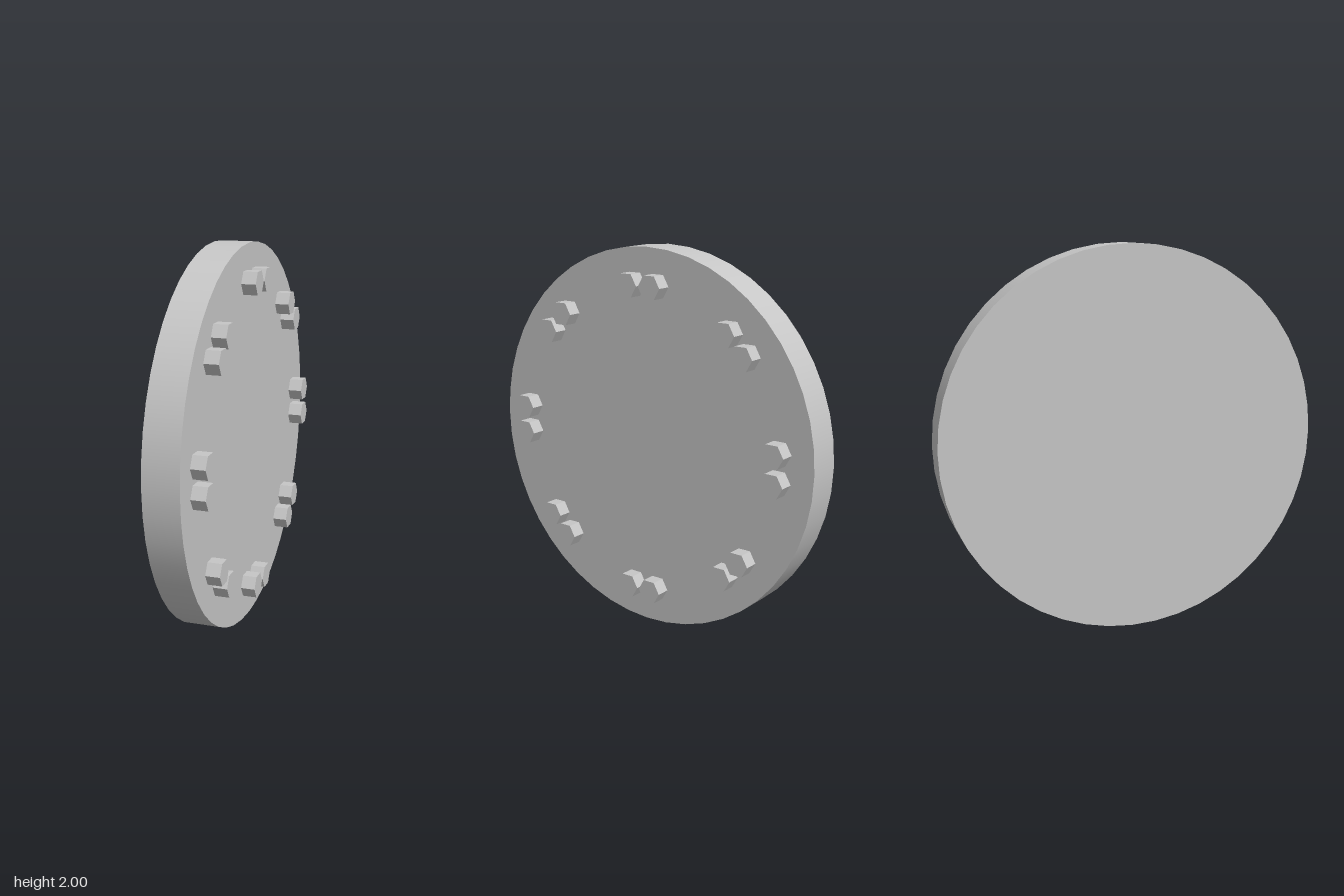
import * as THREE from 'three';

// Cylinder lying along x, with its corners pointing along z
function lyingCylinder(radius, length, sides) {
  return new THREE.CylinderGeometry(radius, radius, length, sides).rotateZ(-Math.PI / 2);
}

export function createModel() {
  const model = new THREE.Group();
  model.name = 'boltedDisc';
  const grey = new THREE.MeshStandardMaterial({ color: 0xc6c6c6 });
  grey.name = 'plain grey';

  // Thick round plate standing on its rim
  const left = -0.13, face = 0.055, boltEnd = 0.13;
  const disc = new THREE.Mesh(lyingCylinder(1, face - left, 48), grey);
  disc.name = 'disc';
  disc.position.set((left + face) / 2, 1, 0);
  model.add(disc);

  // Hexagonal bolt heads with flat sides
  const boltGeometry = lyingCylinder(0.067, boltEnd - face, 6).toNonIndexed();
  boltGeometry.computeVertexNormals();

  const bolts = new THREE.Group();
  bolts.name = 'bolts';
  bolts.position.set((face + boltEnd) / 2, 1.003, 0);
  model.add(bolts);

  // One quarter of the ring as [z, y], mirrored both ways into eight pairs
  const quarter = [[0.073, 0.807], [0.518, 0.62], [0.621, 0.518], [0.807, 0.073]];
  for (const [z, y] of quarter) {
    for (const sz of [-1, 1]) {
      for (const sy of [-1, 1]) {
        const bolt = new THREE.Mesh(boltGeometry, grey);
        bolt.name = 'boltHead';
        bolt.position.set(0, sy * y, sz * z);
        bolts.add(bolt);
      }
    }
  }
  return model;
}
